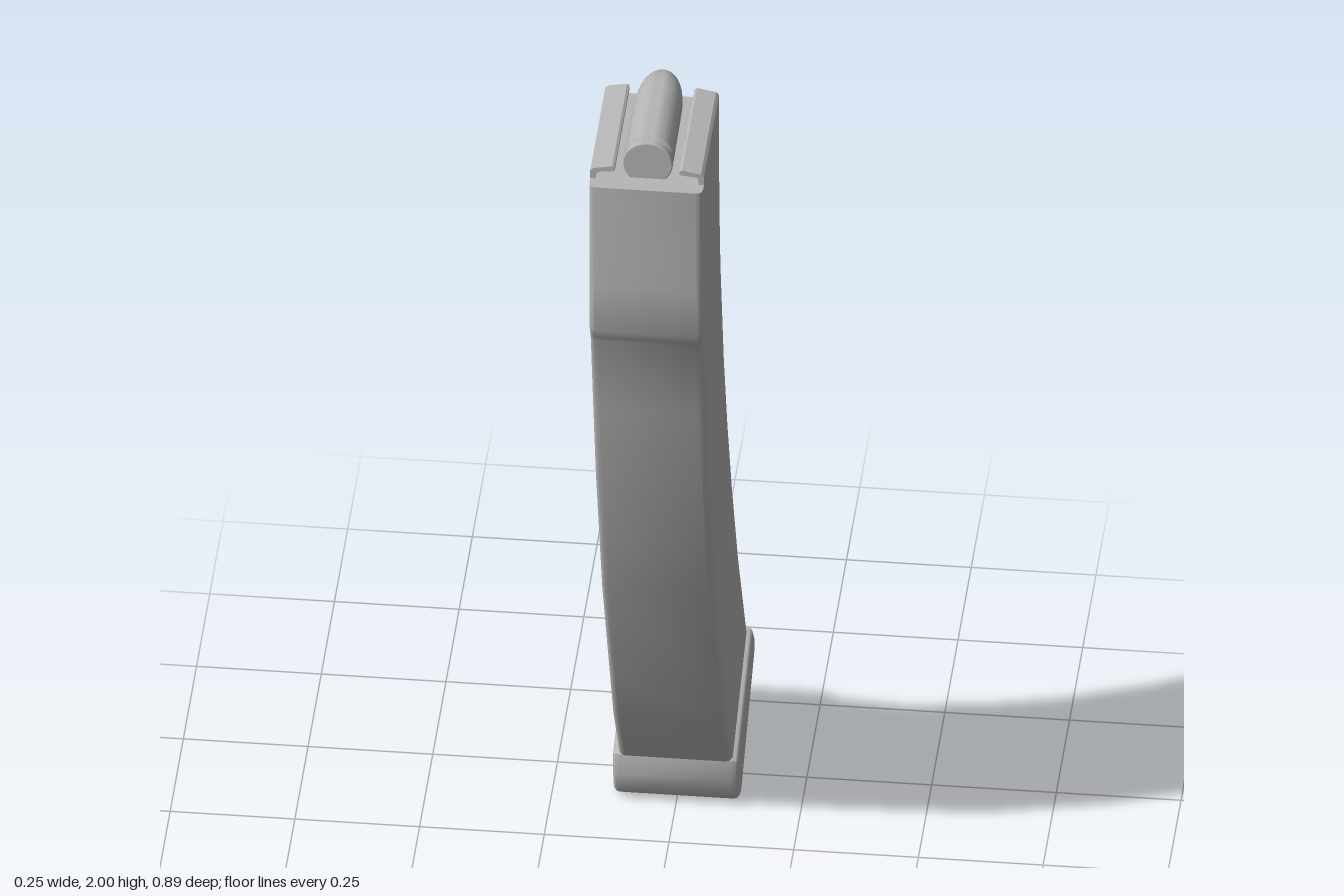
import * as THREE from 'three';
import { toCreasedNormals } from 'three/addons/utils/BufferGeometryUtils.js';

const grey = new THREE.MeshStandardMaterial({ color: 0xb6b6b6 });
grey.name = 'grey metal';

function add(group, name, geometry, crease = 0.55) {
  const mesh = new THREE.Mesh(toCreasedNormals(geometry, crease), grey);
  mesh.name = name;
  group.add(mesh);
  return mesh;
}

// Outline of a rounded rectangle as [x, u] pairs, running from +x towards +u
function roundedRect(halfX, halfU, r, steps = 4) {
  const pts = [];
  [[1, 1], [-1, 1], [-1, -1], [1, -1]].forEach(([sx, su], q) => {
    for (let i = 0; i <= steps; i++) {
      const a = (q + i / steps) * Math.PI / 2;
      pts.push([sx * (halfX - r) + r * Math.cos(a), su * (halfU - r) + r * Math.sin(a)]);
    }
  });
  return pts;
}

// Curved body: rounded rectangles lofted between front and back edges
function bodyGeometry() {
  // front z, front y, back z, back y
  const rows = [
    [0.446, 1.915, 0.117, 1.915],
    [0.444, 1.67, 0.111, 1.672],
    [0.441, 1.56, 0.105, 1.62],
    [0.427, 1.535, 0.097, 1.56],
    [0.418, 1.52, 0.09, 1.497],
    [0.371, 1.317, 0.058, 1.361],
    [0.318, 1.105, 0.027, 1.226],
    [0.26, 0.93, -0.042, 1.015],
    [0.202, 0.755, -0.127, 0.797],
    [0.05, 0.423, -0.244, 0.543],
    [-0.01, 0.294, -0.31, 0.422],
    [-0.122, 0.12, -0.403, 0.252],
  ];
  const pos = [], index = [];
  let n = 0;
  for (const [fz, fy, bz, by] of rows) {
    const half = Math.hypot(fz - bz, fy - by) / 2;
    const ring = roundedRect(0.114, half, 0.013);
    n = ring.length;
    for (const [x, u] of ring) {
      const t = (u / half + 1) / 2;
      pos.push(x, by + (fy - by) * t, bz + (fz - bz) * t);
    }
  }
  const last = (rows.length - 1) * n;
  for (let i = 0; i < last; i += n) {
    for (let j = 0; j < n; j++) {
      const k = (j + 1) % n;
      index.push(i + j, i + k, i + n + j, i + k, i + n + k, i + n + j);
    }
  }
  // end caps
  for (let j = 1; j < n - 1; j++) {
    index.push(0, j + 1, j, last, last + j, last + j + 1);
  }
  const g = new THREE.BufferGeometry();
  g.setAttribute('position', new THREE.Float32BufferAttribute(pos, 3));
  g.setIndex(index);
  return g;
}

function polygon(points) {
  return new THREE.Shape(points.map(([x, y]) => new THREE.Vector2(x, y)));
}

export function createModel() {
  const group = new THREE.Group();
  group.name = 'curvedMagazine';

  add(group, 'body', bodyGeometry());

  // Floor plate: side profile in (z, y), extruded across the width
  const bevel = 0.012, width = 0.252;
  const plate = new THREE.ExtrudeGeometry(polygon([
    [-0.122, 0.122], [-0.117, 0.077], [-0.134, 0.026], [-0.148, 0.012],
    [-0.165, 0.004], [-0.183, 0.002], [-0.44, 0.17], [-0.446, 0.185],
    [-0.444, 0.204], [-0.403, 0.252],
  ]), {
    depth: width - 2 * bevel, bevelEnabled: true, bevelThickness: bevel,
    bevelSize: bevel, bevelOffset: -bevel, bevelSegments: 3,
  });
  plate.translate(0, 0, -(width / 2 - bevel));
  plate.rotateY(-Math.PI / 2);
  add(group, 'floorPlate', plate, 0.65);

  // Feed lips: a short wall folded inwards on each side
  const lip = [
    [0.114, 1.91], [0.114, 1.934], [0.108, 1.94], [0.07, 1.947], [0.065, 1.944],
    [0.065, 1.936], [0.07, 1.935], [0.102, 1.931], [0.104, 1.91],
  ];
  for (const side of [1, -1]) {
    const g = new THREE.ExtrudeGeometry(
      polygon(lip.map(([x, y]) => [side * x, y])),
      { depth: 0.285, bevelEnabled: false });
    g.translate(0, 0, 0.13);
    add(group, side > 0 ? 'leftFeedLip' : 'rightFeedLip', g);
  }

  // Cartridge lying on top, turned from base to tip; profile is [radius, length]
  const round = new THREE.Group();
  round.name = 'cartridge';
  round.position.set(0, 1.95, 0.404);
  round.rotation.x = -Math.PI / 2;
  group.add(round);
  const turned = (profile) => new THREE.LatheGeometry(
    profile.map(([r, y]) => new THREE.Vector2(r, y)), 32);
  add(round, 'case', turned([
    [0, 0], [0.048, 0], [0.05, 0.002], [0.05, 0.013], [0.043, 0.016],
    [0.043, 0.021], [0.05, 0.027], [0.0485, 0.202], [0.046, 0.202],
  ]));
  const tip = [];
  for (let i = 0; i <= 10; i++) {
    const a = (i / 10) * Math.PI / 2;
    tip.push([i === 10 ? 0 : 0.0475 * Math.cos(a) ** 0.9, 0.2 + 0.105 * Math.sin(a)]);
  }
  add(round, 'bullet', turned(tip));

  return group;
}
